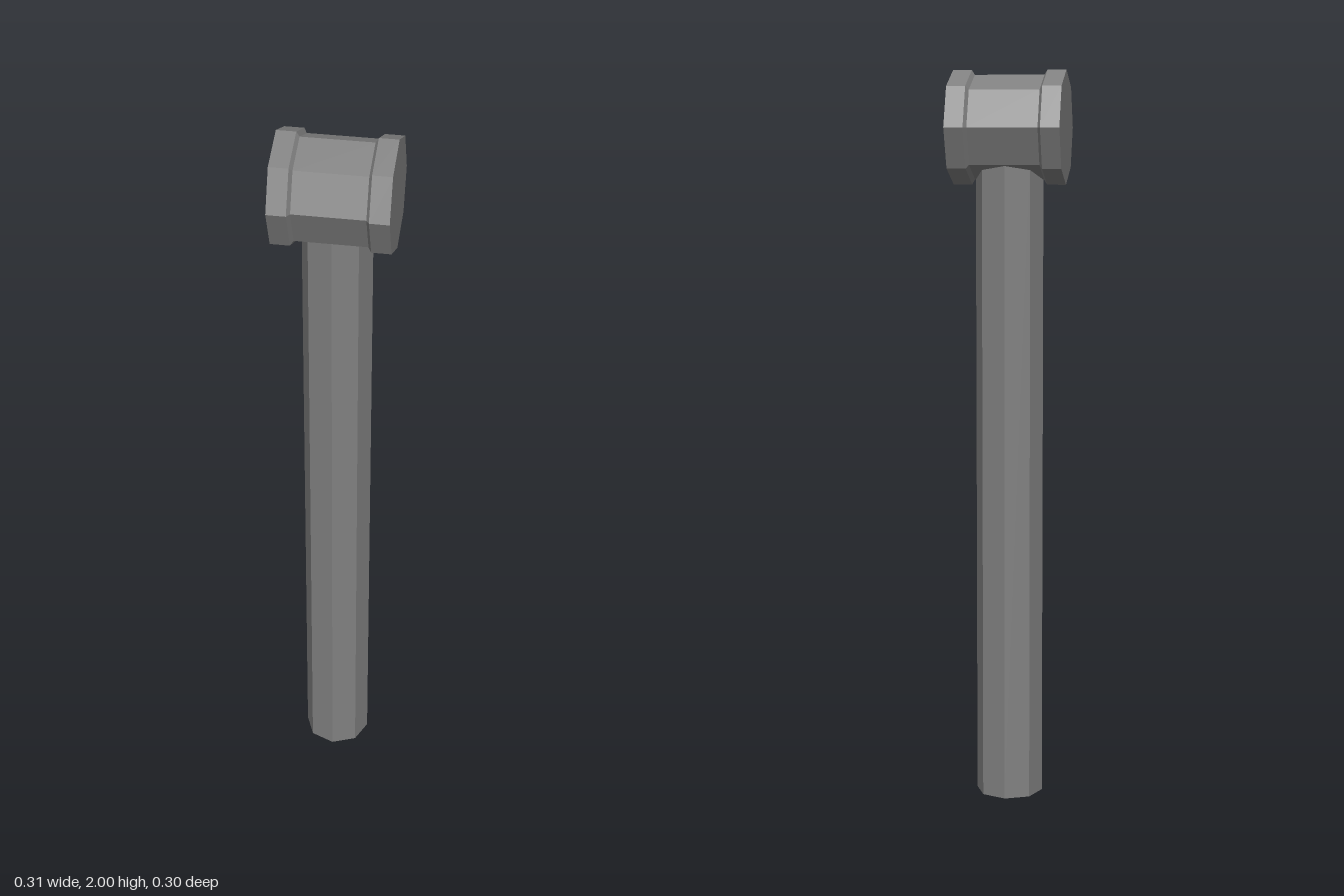
import * as THREE from 'three';

export function createModel() {
  const group = new THREE.Group();
  const grey = new THREE.MeshStandardMaterial({ color: 0x808080, flatShading: true });
  grey.name = 'grey';

  // Eight-sided handle, sunk into the head
  const handle = new THREE.Mesh(new THREE.CylinderGeometry(0.092, 0.092, 1.78, 8), grey);
  handle.name = 'handle';
  handle.position.y = 0.89;
  group.add(handle);

  // Head: octagonal barrel with a wider striking face at each end
  const half = [[0, 0.153], [0.152, 0.153], [0.152, 0.102], [0.139, 0.094]];
  const profile = [
    ...half.map(([r, h]) => new THREE.Vector2(r, -h)),
    ...half.slice().reverse().map(([r, h]) => new THREE.Vector2(r, h)),
  ];
  const head = new THREE.Mesh(new THREE.LatheGeometry(profile, 8), grey);
  head.name = 'head';
  head.rotation.z = Math.PI / 2;
  head.position.y = 1.848;
  group.add(head);

  return group;
}
